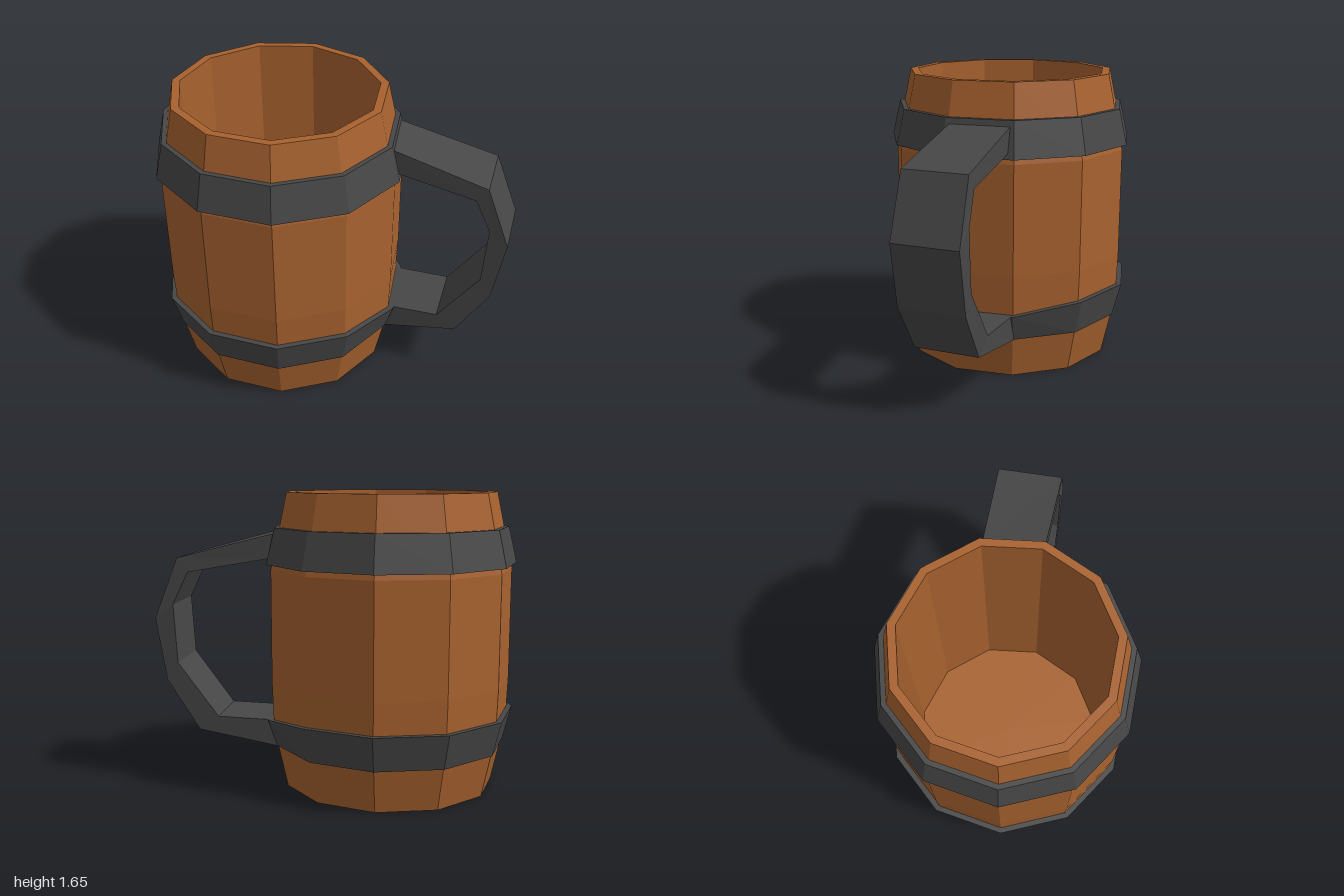
import * as THREE from 'three';

const SIDES = 11;

// Eleven-sided turned part with one corner pointing to the back
function turned(name, profile, material) {
  const points = profile.map(([r, y]) => new THREE.Vector2(r, y));
  const geometry = new THREE.LatheGeometry(points, SIDES, Math.PI);
  const mesh = new THREE.Mesh(geometry, material);
  mesh.name = name;
  return mesh;
}

// Four-cornered sections joined in order, with capped ends
function loft(sections) {
  const index = [];
  const last = (sections.length - 1) * 4;
  for (let i = 0; i < last; i += 4) {
    for (let k = 0; k < 4; k++) {
      const a = i + k, b = i + (k + 1) % 4;
      index.push(a, a + 4, b, b, a + 4, b + 4);
    }
  }
  index.push(0, 1, 2, 0, 2, 3, last, last + 2, last + 1, last, last + 3, last + 2);
  const geometry = new THREE.BufferGeometry();
  geometry.setAttribute('position', new THREE.Float32BufferAttribute(sections.flat(2), 3));
  geometry.setIndex(index);
  geometry.computeVertexNormals();
  return geometry;
}

export function createModel() {
  const wood = new THREE.MeshStandardMaterial({ color: 0xa8622f, flatShading: true });
  wood.name = 'wood';
  const iron = new THREE.MeshStandardMaterial({ color: 0x474747, flatShading: true });
  iron.name = 'dark iron';

  const model = new THREE.Group();
  model.name = 'tankard';
  const body = new THREE.Group();
  body.name = 'body';
  body.position.set(-0.3, 0, 0.012);
  model.add(body);

  // Hollow barrel: base, bulging wall, rim, inner wall and floor
  body.add(turned('barrel', [
    [0, 0], [0.596, 0], [0.672, 0.34], [0.682, 0.61], [0.682, 1.23],
    [0.591, 1.65], [0.546, 1.65], [0.546, 0.12], [0, 0.12],
  ], wood));

  // Bands flare towards the middle of the barrel
  body.add(turned('upperBand', [
    [0.66, 1.26], [0.707, 1.26], [0.66, 1.46], [0.62, 1.46],
  ], iron));
  const lowerBand = turned('lowerBand', [
    [0.62, 0.24], [0.657, 0.24], [0.707, 0.435], [0.66, 0.435],
  ], iron);
  body.add(lowerBand);

  // The lower band dips where the handle joins it
  const p = lowerBand.geometry.attributes.position;
  for (let i = 0; i < p.count; i++) {
    if (p.getX(i) > 0.55 && p.getY(i) > 0.3) p.setY(i, 0.39);
  }

  // Handle stations: outer x, y, inner x, y, front z, back z, back shift in x
  const stations = [
    [0.35, 1.43, 0.39, 1.29, 0.085, -0.245, -0.05],
    [0.87, 1.29, 0.81, 1.21, 0.09, -0.268, -0.015],
    [1.0, 0.95, 0.895, 1.03, 0.088, -0.28, -0.015],
    [0.94, 0.6, 0.875, 0.7, 0.09, -0.28, -0.015],
    [0.76, 0.315, 0.65, 0.395, 0.098, -0.265, -0.015],
    [0.35, 0.24, 0.395, 0.39, 0.1, -0.268, -0.055],
  ];
  const handle = new THREE.Mesh(loft(stations.map(([ox, oy, ix, iy, f, b, s]) => [
    [ox, oy, f], [ox + s, oy, b], [ix + s, iy, b], [ix, iy, f],
  ])), iron);
  handle.name = 'handle';
  model.add(handle);

  return model;
}
